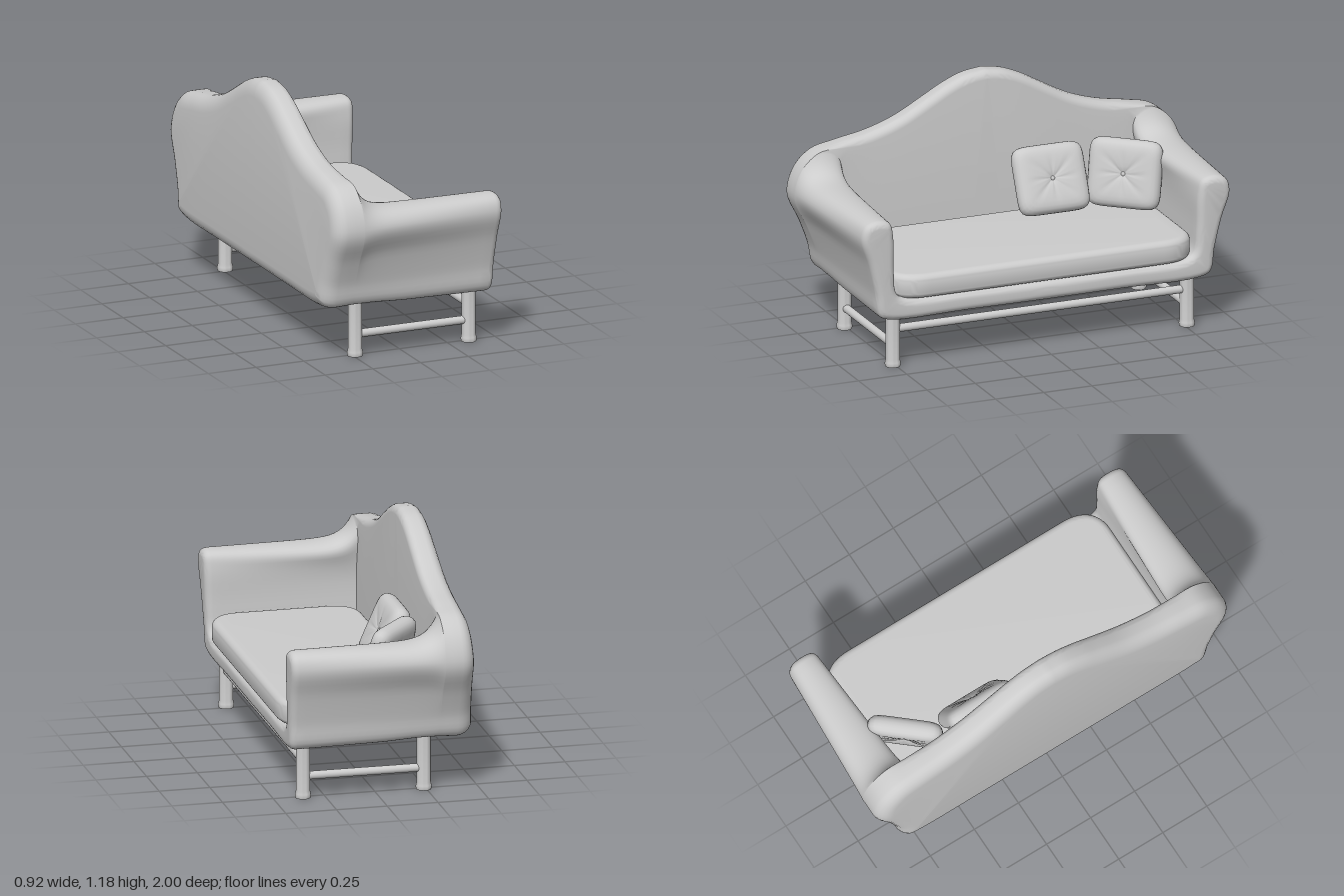
import * as THREE from 'three';
import { mergeVertices, toCreasedNormals } from 'three/addons/utils/BufferGeometryUtils.js';

const grey = new THREE.MeshStandardMaterial({ color: 0xcccccc });

function add(parent, name, geometry) {
  const mesh = new THREE.Mesh(geometry, grey);
  mesh.name = name;
  parent.add(mesh);
  return mesh;
}

// Half cross-sections as [z, y], from the bottom centre round to the top centre.
const armSection = [[0, .26], [.4, .26], [.8, .26], [.86, .285], [.88, .4], [.915, .55], [.955, .68], [.935, .745],
  [.875, .768], [.81, .75], [.79, .68], [.785, .5], [.77, .385], [.72, .355], [.4, .35], [0, .345]];
const backSection = [[0, .26], [.4, .26], [.78, .265], [.86, .29], [.89, .4], [.935, .52], [1, .67], [.965, .8],
  [.88, .88], [.76, .91], [.6, .94], [.45, .99], [.3, 1.07], [.2, 1.125], [.1, 1.165], [0, 1.18]];
const SEG = 75;

// Samples a half section with its outward normals.
function sampleSection(points) {
  const curve = new THREE.CatmullRomCurve3(points.map(([z, y]) => new THREE.Vector3(z, y, 0)));
  return Array.from({ length: SEG + 1 }, (_, j) => {
    const p = curve.getPoint(j / SEG), t = curve.getTangent(j / SEG);
    const end = j === 0 ? -1 : j === SEG ? 1 : 0;
    return { z: p.x, y: p.y, nz: end ? 0 : t.y, ny: end || -t.x };
  });
}

// One loft along x: upright back first, then the arms and seat deck.
function shellGeometry() {
  const arm = sampleSection(armSection), back = sampleSection(backSection);
  const stations = [];
  const quarter = (k) => (k / 6) * Math.PI / 2;
  for (let k = 0; k <= 6; k++) {
    stations.push({ back: true, x: -.38 - .08 * Math.cos(quarter(k)), all: .08 * (1 - Math.sin(quarter(k))), crest: 0 });
  }
  for (let k = 0; k <= 6; k++) {
    stations.push({ back: true, x: -.33 + .04 * Math.sin(quarter(k)), all: 0, crest: .04 * (1 - Math.cos(quarter(k))) });
  }
  for (let k = 0; k < 24; k++) stations.push({ x: -.29 + .71 * (k / 24) ** 1.6, all: 0 });
  for (let k = 0; k <= 6; k++) {
    stations.push({ x: .42 + .037 * Math.sin(quarter(k)), all: .035 * (1 - Math.cos(quarter(k))) });
  }

  const rings = stations.map((s) => arm.map((a, j) => {
    const b = back[j], index = j / SEG * 15;
    let x = s.x, y, z;
    if (s.back) {
      const inset = s.all + s.crest * THREE.MathUtils.smoothstep(index, 8, 10);
      z = b.z - b.nz * inset;
      y = b.y - b.ny * inset;
      if (x < -.35) x += Math.max(0, y - .35) * .05 * (-.35 - x) / .11;
    } else {
      // Arms blend out of the back on their outer side only.
      const outer = 1 - THREE.MathUtils.smoothstep(index, 8, 10.5);
      const slow = Math.max(0, (.42 - x) / .71) * outer;
      const quick = Math.exp(-(x + .29) / .05) * outer;
      z = THREE.MathUtils.lerp(a.z, b.z, slow) - a.nz * s.all;
      y = THREE.MathUtils.lerp(a.y, b.y, quick) - a.ny * s.all;
      if (x > .3) x -= Math.max(0, .75 - y) * .03 * (x - .3) / .157;
    }
    // Gentle rise and fall of the underside.
    if (index < 4) {
      const rise = .025 * Math.exp(-(((s.x + .2) / .13) ** 2)) - .008 * THREE.MathUtils.smoothstep(s.x, 0, .4);
      y += rise * (1 - index / 4);
    }
    return new THREE.Vector3(x, y, z);
  }));

  const positions = [];
  const tri = (a, b, c) => {
    const area = b.clone().sub(a).cross(c.clone().sub(a)).length();
    if (area < 1e-9) return;
    for (const p of [a, b, c]) positions.push(p.x, p.y, p.z);
    for (const p of [a, c, b]) positions.push(p.x, p.y, -p.z);
  };
  for (let i = 0; i < rings.length - 1; i++) {
    for (let j = 0; j < SEG; j++) {
      const a = rings[i][j], b = rings[i + 1][j], c = rings[i][j + 1], d = rings[i + 1][j + 1];
      tri(a, b, c);
      tri(b, d, c);
    }
  }
  // End caps pair the lower and upper halves of a section.
  const first = rings[0], last = rings[rings.length - 1];
  for (let j = 0; j < Math.floor(SEG / 2); j++) {
    const k = SEG - j;
    tri(last[j], last[k], last[j + 1]);
    tri(last[j + 1], last[k], last[k - 1]);
    tri(first[j], first[j + 1], first[k]);
    tri(first[j + 1], first[k - 1], first[k]);
  }
  const geo = new THREE.BufferGeometry();
  geo.setAttribute('position', new THREE.Float32BufferAttribute(positions, 3));
  return toCreasedNormals(geo, .7);
}

// Flat seat pad with round corners and a soft edge.
function seatGeometry() {
  const bevel = .035, hx = .3725 - bevel, hz = .785 - bevel, r = .12;
  const s = new THREE.Shape();
  s.moveTo(-hx + r, -hz).lineTo(hx - r, -hz).quadraticCurveTo(hx, -hz, hx, -hz + r * 1.2);
  s.lineTo(hx, hz - r * 1.2).quadraticCurveTo(hx, hz, hx - r, hz);
  s.lineTo(-hx + r, hz).quadraticCurveTo(-hx, hz, -hx, hz - r);
  s.lineTo(-hx, -hz + r).quadraticCurveTo(-hx, -hz, -hx + r, -hz);
  const geo = new THREE.ExtrudeGeometry(s, { depth: .05, bevelThickness: bevel, bevelSize: bevel, bevelSegments: 6, curveSegments: 14 });
  geo.rotateX(-Math.PI / 2);
  return toCreasedNormals(geo, .6);
}

// Square pillow: a lathe squared off, dimpled and creased towards its button.
function pillowGeometry(thick, high, wide) {
  const half = [[0, .62], [.05, .66], [.12, .8], [.22, .9], [.35, .96], [.5, 1], [.65, 1], [.78, .95], [.88, .82], [.95, .6], [.99, .3]];
  const profile = [...half.map(([r, h]) => [r, -h]), [1, 0], ...half.slice().reverse()].map(([r, h]) => new THREE.Vector2(r, h));
  let geo = new THREE.LatheGeometry(profile, 64);
  const p = geo.attributes.position;
  for (let i = 0; i < p.count; i++) {
    const x = p.getX(i), z = p.getZ(i), r = Math.hypot(x, z), a = Math.atan2(z, x);
    const square = (Math.abs(Math.cos(a)) ** 7 + Math.abs(Math.sin(a)) ** 7) ** (-1 / 7);
    const crease = 1 - .06 * Math.max(0, Math.cos(8 * a)) * Math.sin(Math.PI * Math.min(1, r / .7));
    p.setXYZ(i, x * square * high / 2, p.getY(i) * crease * thick / 2, z * square * wide / 2);
  }
  geo.deleteAttribute('uv');
  geo.deleteAttribute('normal');
  geo = mergeVertices(geo.rotateZ(-Math.PI / 2), 1e-5);
  geo.computeVertexNormals();
  return geo;
}

function addPillow(parent, name, position, yaw, tilt) {
  const pillow = new THREE.Group();
  pillow.name = name;
  const thick = .1;
  add(pillow, 'pillowCover', pillowGeometry(thick, .335, .365));
  for (const side of [-1, 1]) {
    const button = add(pillow, 'pillowButton', new THREE.SphereGeometry(.011, 16, 10));
    button.scale.x = .5;
    button.position.x = side * thick * .32;
  }
  pillow.position.set(...position);
  pillow.rotation.set(0, yaw, tilt, 'YXZ');
  parent.add(pillow);
}

function addRail(parent, name, from, to) {
  const a = new THREE.Vector3(...from), b = new THREE.Vector3(...to);
  const rail = add(parent, name, new THREE.CylinderGeometry(.02, .02, a.distanceTo(b), 20));
  rail.position.copy(a).lerp(b, .5);
  rail.quaternion.setFromUnitVectors(new THREE.Vector3(0, 1, 0), b.sub(a).normalize());
}

export function createModel() {
  const sofa = new THREE.Group();
  sofa.name = 'sofa';
  add(sofa, 'upholsteredShell', shellGeometry());
  add(sofa, 'seatCushion', seatGeometry()).position.set(.0845, .385, 0);

  addPillow(sofa, 'innerPillow', [-.165, .64, -.275], 0, .42);
  addPillow(sofa, 'cornerPillow', [-.1, .64, -.635], -.71, .22);

  // Legs with a flared foot, side stretchers and the front stretcher
  const legProfile = [[0, 0], [.036, 0], [.039, .012], [.037, .022], [.034, .036], [.034, .3], [0, .3]];
  const legGeo = toCreasedNormals(new THREE.LatheGeometry(legProfile.map(([r, y]) => new THREE.Vector2(r, y)), 28), .7);
  for (const z of [-.763, .763]) {
    add(sofa, 'rearLeg', legGeo).position.set(-.238, 0, z);
    add(sofa, 'frontLeg', legGeo).position.set(.357, 0, z);
    addRail(sofa, 'sideStretcher', [-.238, .108, z], [.357, .108, z]);
  }
  addRail(sofa, 'frontStretcher', [.357, .187, -.763], [.357, .187, .763]);
  return sofa;
}
